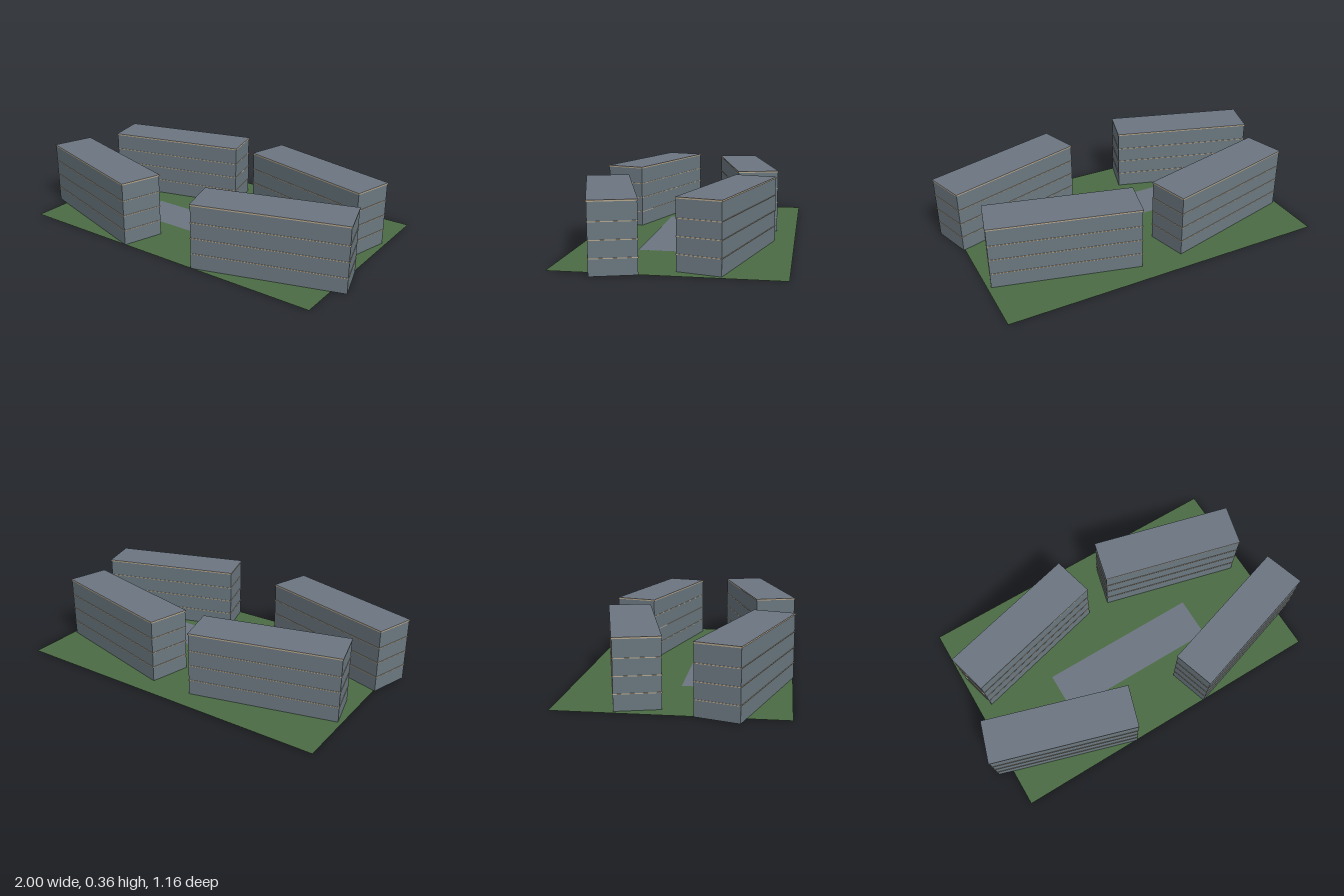
import * as THREE from 'three';

const mat = (name, color, side = THREE.FrontSide) => {
  const m = new THREE.MeshStandardMaterial({ color, side });
  m.name = name;
  return m;
};

export function createModel() {
  const grass = mat('grass green', 0x4a6b43, THREE.DoubleSide);
  const paving = mat('paving and roof grey', 0x6b7580, THREE.DoubleSide);
  const wall = mat('wall slate', 0x6b7880);
  const trim = mat('trim beige', 0xb8a88e);

  const model = new THREE.Group();
  model.name = 'housingEstate';

  const add = (parent, name, geometry, material, y, z = 0) => {
    const mesh = new THREE.Mesh(geometry, material);
    mesh.name = name;
    mesh.position.set(0, y, z);
    parent.add(mesh);
    return mesh;
  };

  // Lawn and the paved court in its middle
  const flat = (w, d) => new THREE.PlaneGeometry(w, d).rotateX(-Math.PI / 2);
  add(model, 'lawn', flat(1.84, 1.15), grass, 0, -0.003);
  add(model, 'pavedCourt', flat(0.92, 0.235), paving, 0.002, 0.112);

  // One four-storey block: walls, floor bands and a cornice with a grey roof
  const length = 0.804, width = 0.231, storey = 0.0865;
  const bodyGeo = new THREE.BoxGeometry(length, 0.351, width);
  const bandGeo = new THREE.BoxGeometry(length + 0.005, 0.004, width + 0.005);
  const corniceGeo = new THREE.BoxGeometry(length + 0.006, 0.008, width + 0.005);
  const corniceMaterials = [trim, trim, paving, trim, trim, trim];

  const block = (name, x, z, angle) => {
    const group = new THREE.Group();
    group.name = name;
    group.position.set(x, 0, z);
    group.rotation.y = angle;
    add(group, 'walls', bodyGeo, wall, 0.1765);
    for (let i = 1; i <= 3; i++) add(group, 'floorBand', bandGeo, trim, i * storey - 0.001);
    add(group, 'cornice', corniceGeo, corniceMaterials, 0.355);
    model.add(group);
  };

  // Mirrored pairs around the court
  for (const s of [1, -1]) {
    const side = s > 0 ? 'Left' : 'Right';
    block('frontBlock' + side, s * 0.578, 0.346, s * 0.3);
    block('backBlock' + side, s * 0.482, -0.256, s * -0.25);
  }
  return model;
}
